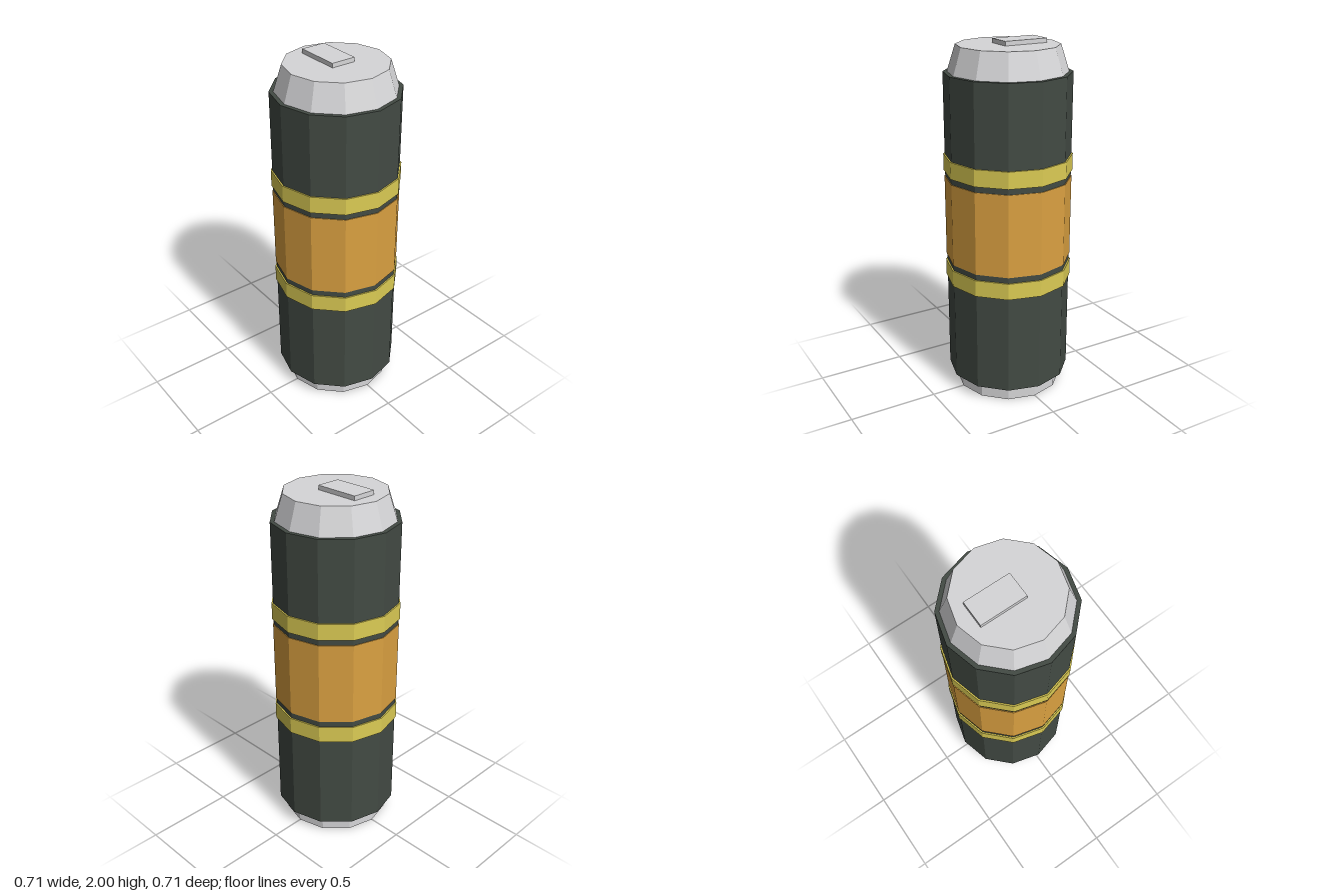
import * as THREE from 'three';

export function createModel() {
  const model = new THREE.Group();
  model.name = 'can';

  const material = (name, color) => {
    const m = new THREE.MeshStandardMaterial({ color, flatShading: true });
    m.name = name;
    return m;
  };
  const metal = material('light metal', 0xd6d6d8);
  const dark = material('dark green grey', 0x434b44);
  const orange = material('orange', 0xdba141);
  const yellow = material('yellow', 0xdccc54);

  // Twelve-sided section between two heights
  const section = (name, mat, y0, y1, rBottom, rTop = rBottom) => {
    const mesh = new THREE.Mesh(new THREE.CylinderGeometry(rTop, rBottom, y1 - y0, 12), mat);
    mesh.name = name;
    mesh.position.y = (y0 + y1) / 2;
    model.add(mesh);
  };

  section('base', metal, 0, 0.085, 0.305);
  section('body', dark, 0.085, 1.832, 0.349);
  section('lid', metal, 1.832, 1.976, 0.326, 0.28);

  // Painted label and bands
  section('label', orange, 0.784, 1.252, 0.353);
  section('lowerBand', yellow, 0.656, 0.75, 0.357);
  section('upperBand', yellow, 1.285, 1.379, 0.357);

  // Pull tab, set towards the back
  const tab = new THREE.Mesh(new THREE.BoxGeometry(0.14, 0.03, 0.256), metal);
  tab.name = 'pullTab';
  tab.position.set(0, 1.985, -0.071);
  model.add(tab);

  return model;
}
